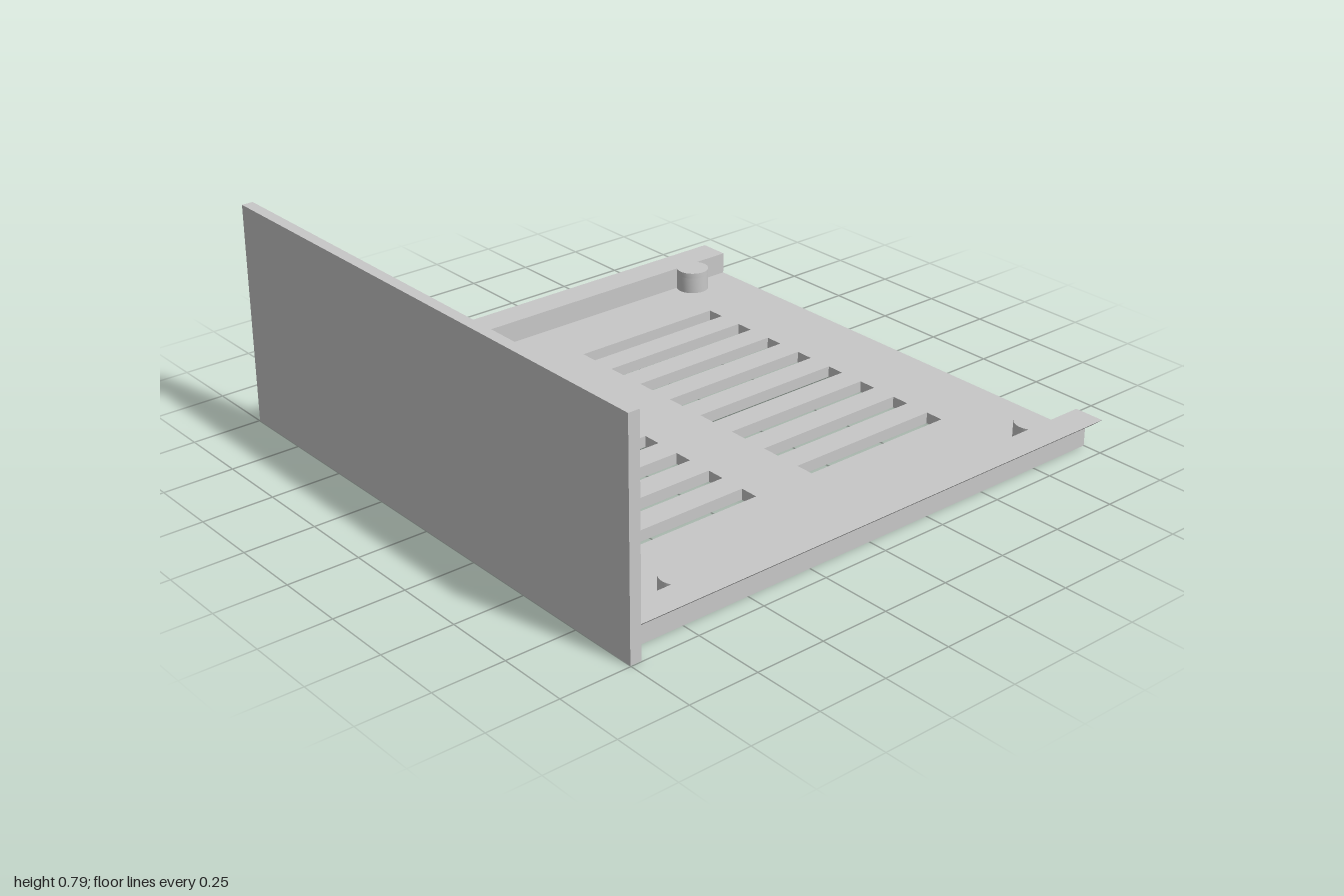
import * as THREE from 'three';
import { toCreasedNormals } from 'three/addons/utils/BufferGeometryUtils.js';

const FLOOR = 0.04, RAIL_TOP = 0.12, RAIL_IN = 0.887, WALL = 0.93, TIP = 0.997;
const BACK = -1, PANEL_BACK = 0.96;

// Plan outlines are given as x, z
const v = (x, z) => new THREE.Vector2(x, -z);
const rect = (x0, x1, z0, z1) => [v(x0, z1), v(x1, z1), v(x1, z0), v(x0, z0)];
const circle = (cx, cz, r, n = 20) => Array.from({ length: n }, (_, i) => {
  const a = (i / n) * Math.PI * 2;
  return v(cx + r * Math.cos(a), cz + r * Math.sin(a));
});

// Extrude a plan outline with holes from y0 up to y1
function slab(outline, holes, y0, y1) {
  // A counter-clockwise outline with clockwise holes keeps the hole walls facing inward
  const turn = (points, clockwise) =>
    THREE.ShapeUtils.isClockWise(points) === clockwise ? points : [...points].reverse();
  const shape = new THREE.Shape(turn(outline, false));
  holes.forEach((h) => shape.holes.push(new THREE.Path(turn(h, true))));
  const g = new THREE.ExtrudeGeometry(shape, { depth: y1 - y0, bevelEnabled: false });
  g.rotateX(-Math.PI / 2).translate(0, y0, 0);
  return toCreasedNormals(g, 0.6);
}

export function createModel() {
  const model = new THREE.Group();
  model.name = 'ventedTray';
  const grey = new THREE.MeshStandardMaterial({ color: 0xc8c8c8 });
  grey.name = 'grey';
  const add = (name, geometry) => {
    const mesh = new THREE.Mesh(geometry, grey);
    mesh.name = name;
    model.add(mesh);
    return mesh;
  };

  // Front panel
  add('frontPanel', new THREE.BoxGeometry(TIP * 2, 0.787, 1 - PANEL_BACK))
    .position.set(0, 0.3935, (1 + PANEL_BACK) / 2);

  // Floor with two rows of slots, two small holes and four boss holes
  const holes = [];
  for (let i = 0; i < 8; i++) {
    const x = -0.643 + i * 0.16;
    holes.push(rect(x, x + 0.067, -0.72, -0.12), rect(x, x + 0.067, 0.12, 0.72));
  }
  const bossX = 0.855, bossR = 0.06, holeR = 0.028;
  for (const s of [-1, 1]) {
    holes.push(circle(s * 0.725, 0.6, 0.025));
    for (const z of [-0.815, 0.707]) holes.push(circle(s * bossX, z, holeR));
  }
  add('floor', slab(rect(-WALL, WALL, BACK, PANEL_BACK), holes, 0, FLOOR));

  for (const s of [-1, 1]) {
    const side = s > 0 ? 'left' : 'right';

    // Side rail: upright wall with an overhanging lip, chamfered to a sharp edge
    const profile = new THREE.Shape([
      [RAIL_IN, FLOOR], [WALL, FLOOR], [WALL, 0.092], [0.965, 0.092], [TIP, RAIL_TOP], [RAIL_IN, RAIL_TOP],
    ].map(([x, y]) => new THREE.Vector2(s * x, y)));
    const rail = new THREE.ExtrudeGeometry(profile, { depth: PANEL_BACK - BACK, bevelEnabled: false });
    add(side + 'Rail', rail.translate(0, 0, BACK));

    // Round bosses against the rail, hollow from below
    for (const z of [-0.815, 0.707]) {
      const start = Math.acos((RAIL_IN - bossX) / bossR);
      const outline = Array.from({ length: 21 }, (_, i) => {
        const a = start + (i / 20) * (2 * Math.PI - 2 * start);
        return v(s * (bossX + bossR * Math.cos(a)), z + bossR * Math.sin(a));
      });
      const name = side + (z < 0 ? 'Back' : 'Front') + 'Boss';
      add(name, slab(outline, [circle(s * bossX, z, holeR)], FLOOR, 0.1));
      add(name + 'Cap', slab(outline, [], 0.1, RAIL_TOP));
    }
  }
  return model;
}
